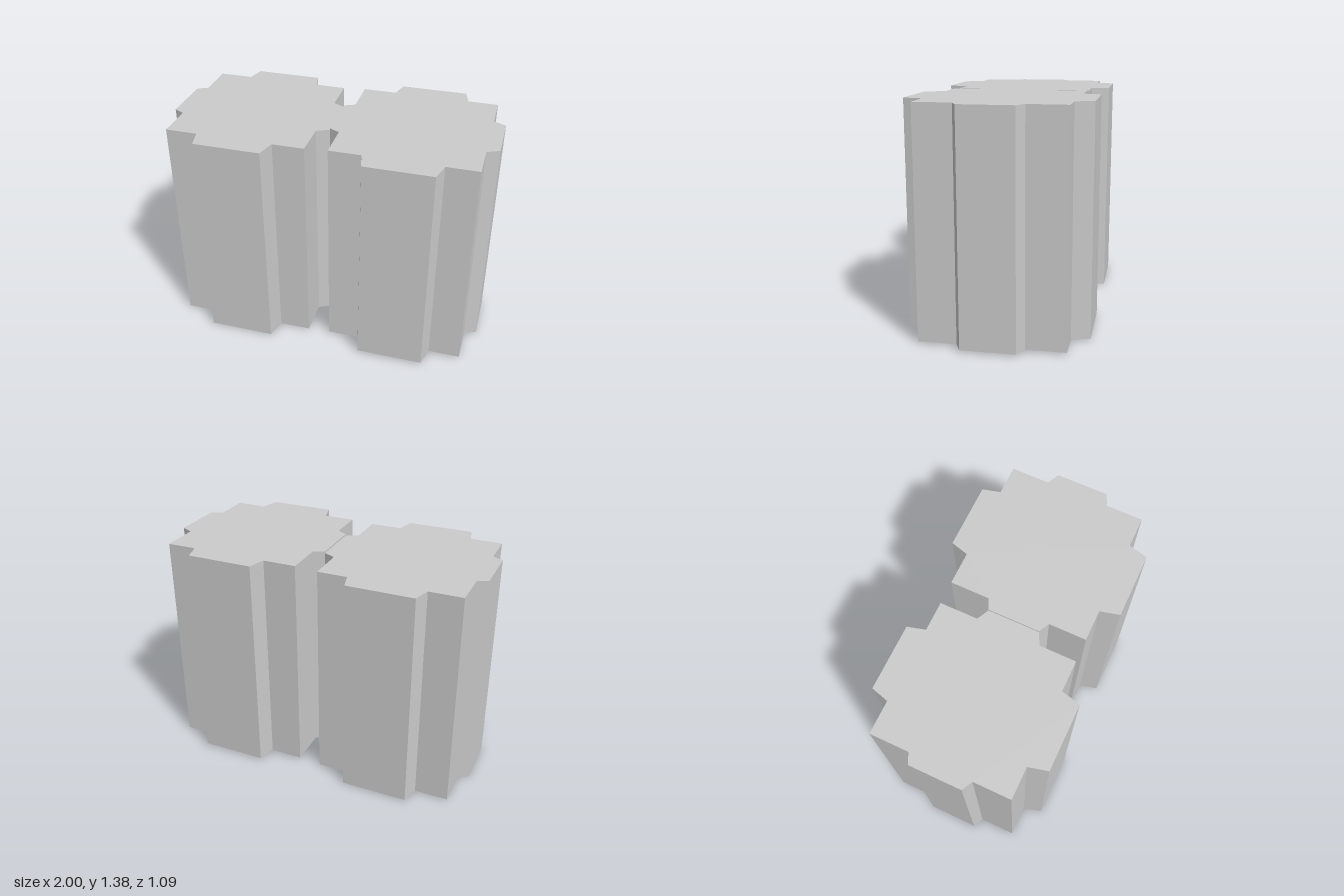
import * as THREE from 'three';

// Plan outline of one block, as [x, z] about the block's own axis
const outline = [
  [-0.23, -0.435], [-0.2, -0.545], [0.21, -0.545], [0.24, -0.435],   // back tab
  [0.425, -0.435], [0.425, -0.2],
  [0.5, -0.163], [0.5, 0.158],                                      // left tab
  [0.425, 0.193], [0.425, 0.42],
  [0.23, 0.42], [0.2, 0.54], [-0.21, 0.54], [-0.24, 0.42],           // front tab
  [-0.435, 0.42], [-0.435, 0.19],
  [-0.5, 0.157], [-0.5, -0.163],                                    // right tab
  [-0.435, -0.195], [-0.435, -0.435],
];
const HEIGHT = 1.365;

// Vertical skin following the outline, one quad per side
function wallGeometry() {
  const pos = [];
  outline.forEach(([x0, z0], i) => {
    const [x1, z1] = outline[(i + 1) % outline.length];
    pos.push(x0, 0, z0, x0, HEIGHT, z0, x1, HEIGHT, z1);
    pos.push(x0, 0, z0, x1, HEIGHT, z1, x1, 0, z1);
  });
  const geo = new THREE.BufferGeometry();
  geo.setAttribute('position', new THREE.Float32BufferAttribute(pos, 3));
  geo.computeVertexNormals();
  return geo;
}

// Flat lid filling the outline
function lidGeometry() {
  const shape = new THREE.Shape(outline.map(([x, z]) => new THREE.Vector2(x, -z)));
  return new THREE.ShapeGeometry(shape).rotateX(-Math.PI / 2).translate(0, HEIGHT, 0);
}

export function createModel() {
  const group = new THREE.Group();
  group.name = 'twinBlocks';
  const material = new THREE.MeshStandardMaterial({
    color: 0xcccccc, flatShading: true, side: THREE.DoubleSide,
  });
  const walls = wallGeometry();
  const lid = lidGeometry();

  // Two hollow blocks side by side, open underneath; one sits slightly higher
  for (const [name, x, y] of [['rightBlock', -0.5, 0], ['leftBlock', 0.5, 0.01]]) {
    const block = new THREE.Group();
    block.name = name;
    for (const [part, geo] of [['walls', walls], ['lid', lid]]) {
      const mesh = new THREE.Mesh(geo, material);
      mesh.name = part;
      block.add(mesh);
    }
    block.position.set(x, y, 0);
    group.add(block);
  }
  return group;
}
